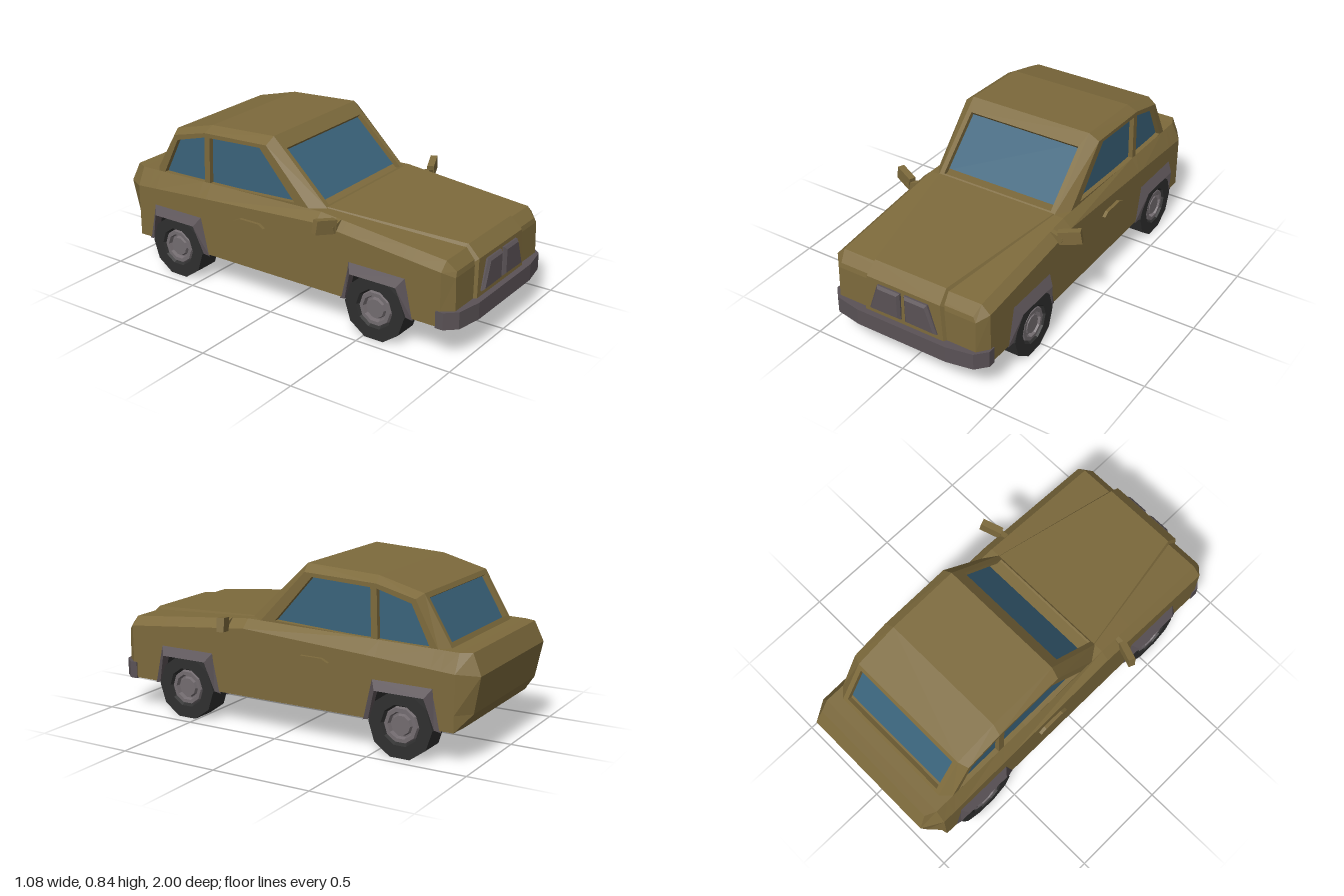
import * as THREE from 'three';

const mat = (color) => new THREE.MeshStandardMaterial({ color, flatShading: true, side: THREE.DoubleSide });
const paint = mat(0x7d6a3c), glass = mat(0x3a637b), trim = mat(0x5a5256), dark = mat(0x2f2f2f), metal = mat(0x736c70);

const lerp = THREE.MathUtils.lerp;
const ramp = (z, z0, y0, z1, y1) => lerp(y0, y1, (z - z0) / (z1 - z0));

function add(parent, name, geo, material) {
  const m = new THREE.Mesh(geo, material);
  m.name = name;
  parent.add(m);
  return m;
}

// Quad surface through rows of [x, y, z] points
function grid(rows) {
  const pos = [];
  for (let i = 0; i < rows.length - 1; i++) {
    for (let j = 0; j < rows[i].length - 1; j++) {
      const a = rows[i][j], b = rows[i][j + 1], c = rows[i + 1][j + 1], d = rows[i + 1][j];
      pos.push(...a, ...b, ...c, ...a, ...c, ...d);
    }
  }
  const g = new THREE.BufferGeometry();
  g.setAttribute('position', new THREE.Float32BufferAttribute(pos, 3));
  g.computeVertexNormals();
  return g;
}

const flip = (row) => row.map(([x, y, z]) => [-x, y, z]);

function plate(points, holes, depth, bevel = 0) {
  const shape = new THREE.Shape(points.map((p) => new THREE.Vector2(...p)));
  for (const h of holes) shape.holes.push(new THREE.Path(h.map((p) => new THREE.Vector2(...p))));
  return new THREE.ExtrudeGeometry(shape, {
    depth, bevelEnabled: bevel > 0, bevelSize: bevel, bevelThickness: bevel, bevelOffset: -bevel, bevelSegments: 1,
  });
}

// Extrude a (z, y) outline along x, starting at x0
const sidePlate = (pts, holes, x0, depth) => {
  const turn = (list) => list.map(([z, y]) => [-z, y]);
  return plate(turn(pts), holes.map(turn), depth).rotateY(Math.PI / 2).translate(x0, 0, 0);
};

function buildBody(car) {
  // Half sections: top edge, shoulder, sill line, bottom; the bottom rises over the wheels
  const section = (z, bottom) => {
    const top = z > 0.22 ? ramp(z, 0.9, 0.472, 0.22, 0.54) : ramp(z, 0.22, 0.54, -0.84, 0.52);
    const shoulder = z > 0.2 ? ramp(z, 0.9, 0.43, 0.2, 0.5) : ramp(z, 0.2, 0.5, -0.9, 0.43);
    return [[0.385, top, z], [0.43, shoulder, z], [0.43, Math.max(0.24, bottom + 0.01), z], [0.43, bottom, z]];
  };
  const half = [[[0.37, 0.425, 0.945], [0.385, 0.4, 0.95], [0.385, 0.24, 0.955], [0.385, 0.16, 0.955]]];
  half.push(section(0.9, 0.16));
  for (const c of [0.56, -0.64]) {
    half.push(section(c + 0.19, 0.16), section(c + 0.14, 0.33), section(c - 0.14, 0.33), section(c - 0.19, 0.16));
    if (c > 0) half.push(section(0.22, 0.16));
  }
  half.push(section(-0.9, 0.16));
  half.push([[0.36, 0.52, -0.955], [0.37, 0.42, -1], [0.36, 0.24, -0.965], [0.35, 0.17, -0.92]]);

  add(car, 'bodyShell', grid(half.map((r) => [...[...r].reverse(), ...flip(r)])), paint);
  for (const [name, r] of [['frontPanel', half[0]], ['rearPanel', half[half.length - 1]]]) {
    add(car, name, grid([r, flip(r)]), paint);
  }
  add(car, 'underbody', grid(half.map((r) => [r[3], flip(r)[3]])), dark);

  // Raised bonnet running down into the nose
  const ridge = [[0.33, 0.545, 0.22], [0.2, 0.487, 0.905], [0.205, 0.43, 0.965], [0.22, 0.24, 0.97]];
  add(car, 'bonnet', grid(ridge.map(([x, y, z]) => {
    const edge = [[x, y, z], [x + 0.018, y - 0.02, z - 0.025]];
    return [...flip(edge).reverse(), ...edge];
  })), paint);

  // Front bumper from a plan outline
  const plan = [[0.435, 0.88], [0.435, 0.92], [0.385, 0.975], [0.25, 1]];
  const outline = [...plan, ...[...plan].reverse().map(([x, z]) => [-x, z])];
  add(car, 'frontBumper', plate(outline, [], 0.085).rotateX(Math.PI / 2).translate(0, 0.24, 0), trim);

  // Twin grilles
  for (const s of [1, -1]) {
    const pts = [[0.012, 0.265], [0.19, 0.265], [0.14, 0.41], [0.012, 0.41]].map(([x, y]) => [s * x, y]);
    add(car, 'grille', plate(pts, [], 0.012, 0.012).translate(0, 0, 0.963), trim);
  }
}

function buildCabin(car) {
  const cabin = new THREE.Group();
  cabin.name = 'cabin';
  car.add(cabin);
  // (z, y) outlines: outer at the roof width, inner at the full width
  const outer = [[0.22, 0.54], [-0.09, 0.835], [-0.47, 0.815], [-0.7, 0.755], [-0.84, 0.52]];
  const inner = [[0.165, 0.52], [-0.1, 0.8], [-0.48, 0.785], [-0.68, 0.735], [-0.8, 0.51]];
  const windows = [
    [[0.065, 0.548], [-0.14, 0.78], [-0.45, 0.765], [-0.457, 0.523]],
    [[-0.483, 0.762], [-0.66, 0.713], [-0.755, 0.523], [-0.49, 0.523]],
  ];
  const at = (x, list) => list.map(([z, y]) => [x, y, z]);

  add(cabin, 'glass', sidePlate(inner, [], -0.36, 0.72), glass);
  for (const s of [1, -1]) {
    add(cabin, 'sideFrame', sidePlate(inner, windows, s > 0 ? 0.36 : -0.385, 0.025), paint);
    add(cabin, 'roofBevel', grid([at(s * 0.335, outer), at(s * 0.385, inner)]), paint);
  }
  const roof = outer.slice(1, 4);
  add(cabin, 'roof', grid([at(0.335, roof), at(-0.335, roof)]), paint);

  // Sloping screen frames
  const screen = (name, [z0, y0], [z1, y1], low, high, offset) => {
    const len = Math.hypot(z1 - z0, y1 - y0);
    const rect = (x, a, b) => [[-x, a], [x, a], [x, b], [-x, b]];
    const geo = plate(rect(0.335, 0, len), [rect(0.31, low, len - high)], 0.025).translate(0, 0, offset);
    const m = add(cabin, name, geo, paint);
    m.position.set(0, y0, z0);
    m.rotation.x = Math.atan2(z1 - z0, y1 - y0);
  };
  screen('windscreenFrame', outer[0], outer[1], 0.012, 0.08, -0.025);
  screen('rearScreenFrame', outer[4], outer[3], 0.025, 0.025, 0);
}

function buildWheels(car) {
  const v = (list) => list.map((p) => new THREE.Vector2(...p));
  const tyreGeo = new THREE.LatheGeometry(v([[0.09, -0.045], [0.1, -0.065], [0.163, -0.065],
    [0.163, 0.065], [0.1, 0.065], [0.09, 0.045]]), 10);
  const rimHalf = [[0.09, 0.045], [0.084, 0.06], [0.066, 0.06], [0.06, 0.04], [0.053, 0.04], [0.047, 0.056], [0, 0.056]];
  const rimGeo = new THREE.LatheGeometry(v([...rimHalf.map(([r, y]) => [r, -y]).reverse(), ...rimHalf]), 10);

  for (const z of [0.56, -0.64]) {
    for (const s of [1, -1]) {
      const wheel = new THREE.Group();
      wheel.name = 'wheel';
      wheel.position.set(s * 0.377, 0.155, z);
      wheel.rotation.z = -s * Math.PI / 2;
      add(wheel, 'tyre', tyreGeo, dark);
      add(wheel, 'rim', rimGeo, metal);
      car.add(wheel);

      // Flared arch: outer edge, crest, inner lip
      const arch = (list) => list.map(([x, y, dz]) => [s * x, y, z + dz]);
      const span = (x, xb, w, wb, y, yb) => arch([[xb, yb, wb], [x, y, w], [x, y, -w], [xb, yb, -wb]]);
      add(car, 'wheelArch', grid([
        span(0.428, 0.428, 0.155, 0.2, 0.352, 0.15),
        span(0.463, 0.437, 0.125, 0.168, 0.307, 0.16),
        span(0.39, 0.39, 0.135, 0.178, 0.325, 0.16),
      ]), trim);
    }
    // Axle and its housing
    const housing = [[0.19, 0.16], [0.11, 0.087], [-0.11, 0.087], [-0.19, 0.16], [-0.14, 0.32], [0.14, 0.32]];
    add(car, 'axleHousing', sidePlate(housing, [], -0.25, 0.5).translate(0, 0, z), trim);
    add(car, 'axle', new THREE.BoxGeometry(0.64, 0.07, 0.07).translate(0, 0.155, z), trim);
  }
}

function buildSideDetails(car) {
  for (const s of [1, -1]) {
    // Door mirror
    const mirror = new THREE.Group();
    mirror.name = 'doorMirror';
    const head = add(mirror, 'mirrorHead', new THREE.BoxGeometry(0.11, 0.068, 0.035), paint);
    head.position.set(s * 0.476, 0.518, 0.305);
    head.rotation.set(0, s * 0.38, s * 0.17);
    const arm = add(mirror, 'mirrorArm', new THREE.BoxGeometry(0.07, 0.035, 0.025), paint);
    arm.position.set(s * 0.415, 0.505, 0.325);
    arm.rotation.z = -s * 0.3;
    car.add(mirror);

    // Door handle
    const handle = [[-0.08, 0.396], [-0.11, 0.414], [-0.225, 0.414], [-0.26, 0.396]];
    add(car, 'doorHandle', sidePlate(handle, [], s > 0 ? 0.425 : -0.447, 0.022), paint);
  }
}

export function createModel() {
  const car = new THREE.Group();
  car.name = 'car';
  buildBody(car);
  buildCabin(car);
  buildWheels(car);
  buildSideDetails(car);
  return car;
}
